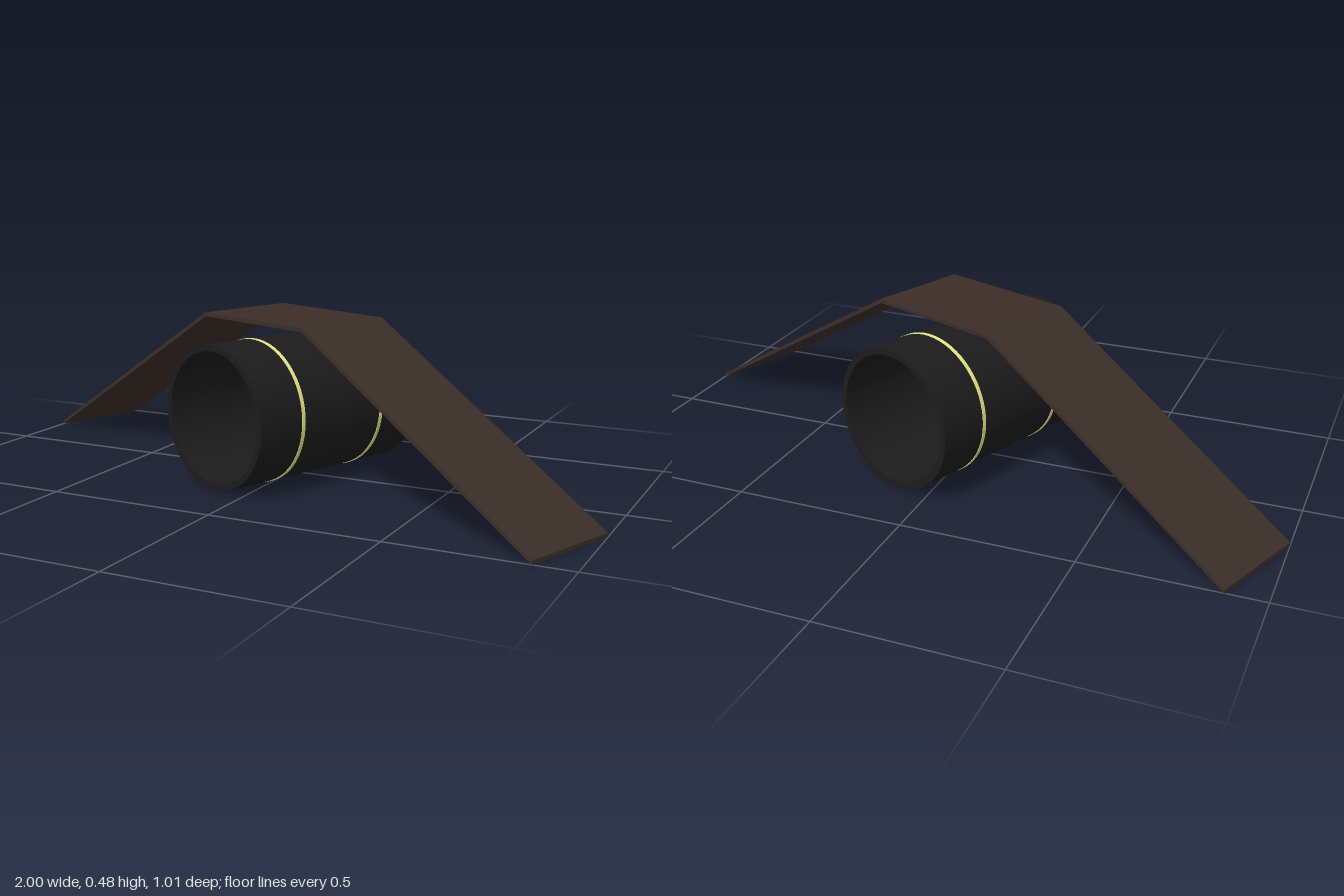
import * as THREE from 'three';

const mat = (color) => new THREE.MeshStandardMaterial({ color });

// Hollow cylinder along z with crisp rims
function hollowTube(name, outer, inner, length, z, material) {
  const group = new THREE.Group();
  group.name = name;
  const h = length / 2;
  const add = (part, geometry, rotX, pz) => {
    const mesh = new THREE.Mesh(geometry, material);
    mesh.name = part;
    mesh.rotation.x = rotX;
    mesh.position.z = pz;
    group.add(mesh);
  };
  const lathe = (r, a, b) => new THREE.LatheGeometry([new THREE.Vector2(r, a), new THREE.Vector2(r, b)], 64);
  add('outerWall', lathe(outer, -h, h), Math.PI / 2, 0);
  add('innerWall', lathe(inner, h, -h), Math.PI / 2, 0);
  add('frontRim', new THREE.RingGeometry(inner, outer, 64), 0, h);
  add('backRim', new THREE.RingGeometry(inner, outer, 64), Math.PI, -h);
  group.position.set(0, 0.21, z);
  return group;
}

export function createModel() {
  const model = new THREE.Group();
  const body = new THREE.Group();
  body.name = 'tunnelRamp';
  body.rotation.y = -0.36; // the whole piece stands at an angle
  model.add(body);

  // Ramp: thin strip rising to a flat top and down again
  const t = 0.011, top = 0.475, reach = 1.009, flat = 0.213, width = 0.315;
  const profile = new THREE.Shape([
    [-reach, 0], [-flat + 0.005, top - t], [flat - 0.005, top - t], [reach, 0],
    [reach, t], [flat, top], [-flat, top], [-reach, t],
  ].map(([x, y]) => new THREE.Vector2(x, y)));
  const rampGeometry = new THREE.ExtrudeGeometry(profile, { depth: width, bevelEnabled: false });
  rampGeometry.translate(0, 0, -width / 2);
  const ramp = new THREE.Mesh(rampGeometry, mat(0x3b2e28));
  ramp.name = 'ramp';
  body.add(ramp);

  // Open pipe passing under the ramp
  const centre = -0.008;
  body.add(hollowTube('pipe', 0.209, 0.191, 0.627, centre, mat(0x1c1c1c)));

  // Two thin bands around the pipe
  const bandMaterial = mat(0xe8e88a);
  for (const side of [1, -1]) {
    const name = side > 0 ? 'frontBand' : 'backBand';
    body.add(hollowTube(name, 0.2105, 0.205, 0.012, centre + side * 0.156, bandMaterial));
  }
  return model;
}
